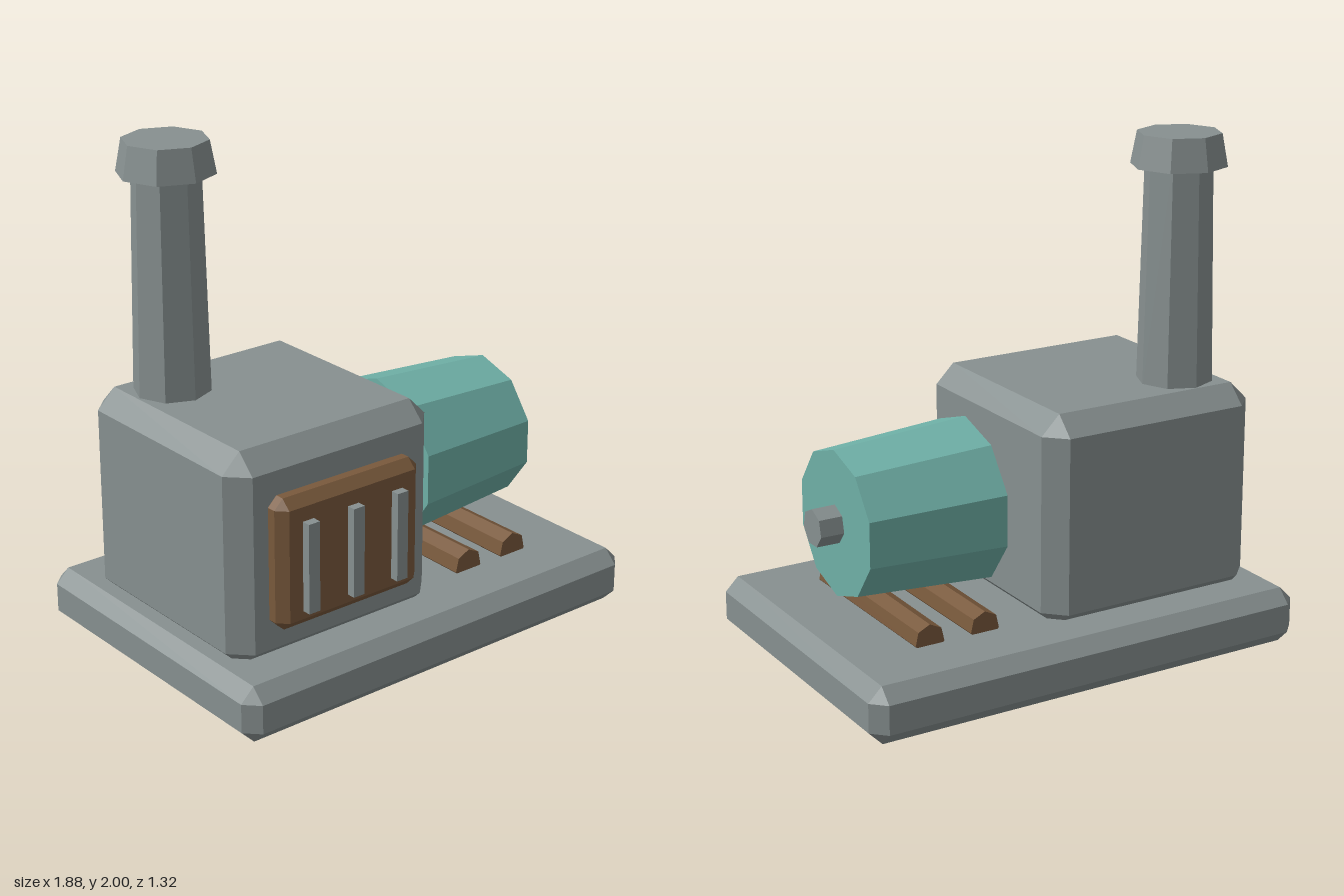
import * as THREE from 'three';
import { ConvexGeometry } from 'three/addons/geometries/ConvexGeometry.js';

// Box spanning min..max with all edges cut by a flat chamfer c
function chamferBox(min, max, c) {
  const points = [];
  for (const x of [0, 1]) for (const y of [0, 1]) for (const z of [0, 1]) {
    const side = [x, y, z];
    for (let axis = 0; axis < 3; axis++) {
      const p = side.map((s, i) => {
        const inset = i === axis ? 0 : c;
        return s ? max[i] - inset : min[i] + inset;
      });
      points.push(new THREE.Vector3(...p));
    }
  }
  return new ConvexGeometry(points);
}

// Tapered prism lying along x, with a corner pointing up
function prismX(r0, r1, x0, x1, sides) {
  const g = new THREE.CylinderGeometry(r1, r0, x1 - x0, sides, 1, false, -Math.PI / 2);
  return g.rotateZ(-Math.PI / 2).translate((x0 + x1) / 2, 0, 0);
}

export function createModel() {
  const model = new THREE.Group();
  model.name = 'boilerMachine';

  const material = (name, color) => {
    const m = new THREE.MeshStandardMaterial({ color, flatShading: true });
    m.name = name;
    return m;
  };
  const grey = material('grey metal', 0x879090);
  const brown = material('brown wood', 0x79593c);
  const teal = material('teal drum', 0x6fb0a7);

  const add = (name, geometry, mat, x = 0, y = 0, z = 0) => {
    const mesh = new THREE.Mesh(geometry, mat);
    mesh.name = name;
    mesh.position.set(x, y, z);
    model.add(mesh);
    return mesh;
  };

  // Plinth and housing
  add('base', chamferBox([-0.94, 0, -0.66], [0.94, 0.225, 0.66], 0.055), grey);
  add('housing', chamferBox([-0.85, 0.175, -0.47], [0.09, 1.03, 0.47], 0.077), grey);

  // Front hatch with three upright slats
  add('hatch', chamferBox([-0.71, 0.34, 0.435], [-0.05, 0.86, 0.547], 0.038), brown);
  for (const x of [-0.587, -0.38, -0.173]) {
    add('hatchSlat', new THREE.BoxGeometry(0.05, 0.355, 0.07), grey, x, 0.588, 0.547);
  }

  // Chimney and its flared cap
  add('chimney', new THREE.CylinderGeometry(0.131, 0.15, 0.92, 8), grey, -0.615, 1.45, -0.238);
  add('chimneyCap', new THREE.CylinderGeometry(0.163, 0.187, 0.127, 8), grey, -0.615, 1.9365, -0.238);

  // Drum on its axle
  add('drum', prismX(0.328, 0.29, 0.187, 0.75, 10), teal, 0, 0.616, 0);
  add('axle', prismX(0.081, 0.074, 0.02, 0.845, 7), grey, 0, 0.617, 0);

  // Two rails half sunk in the base below the drum
  for (const x of [0.328, 0.563]) {
    const rail = new THREE.CylinderGeometry(0.066, 0.062, 0.78, 7, 1, false, Math.PI);
    add('rail', rail.rotateX(Math.PI / 2), brown, x, 0.245, 0.009);
  }

  return model;
}
